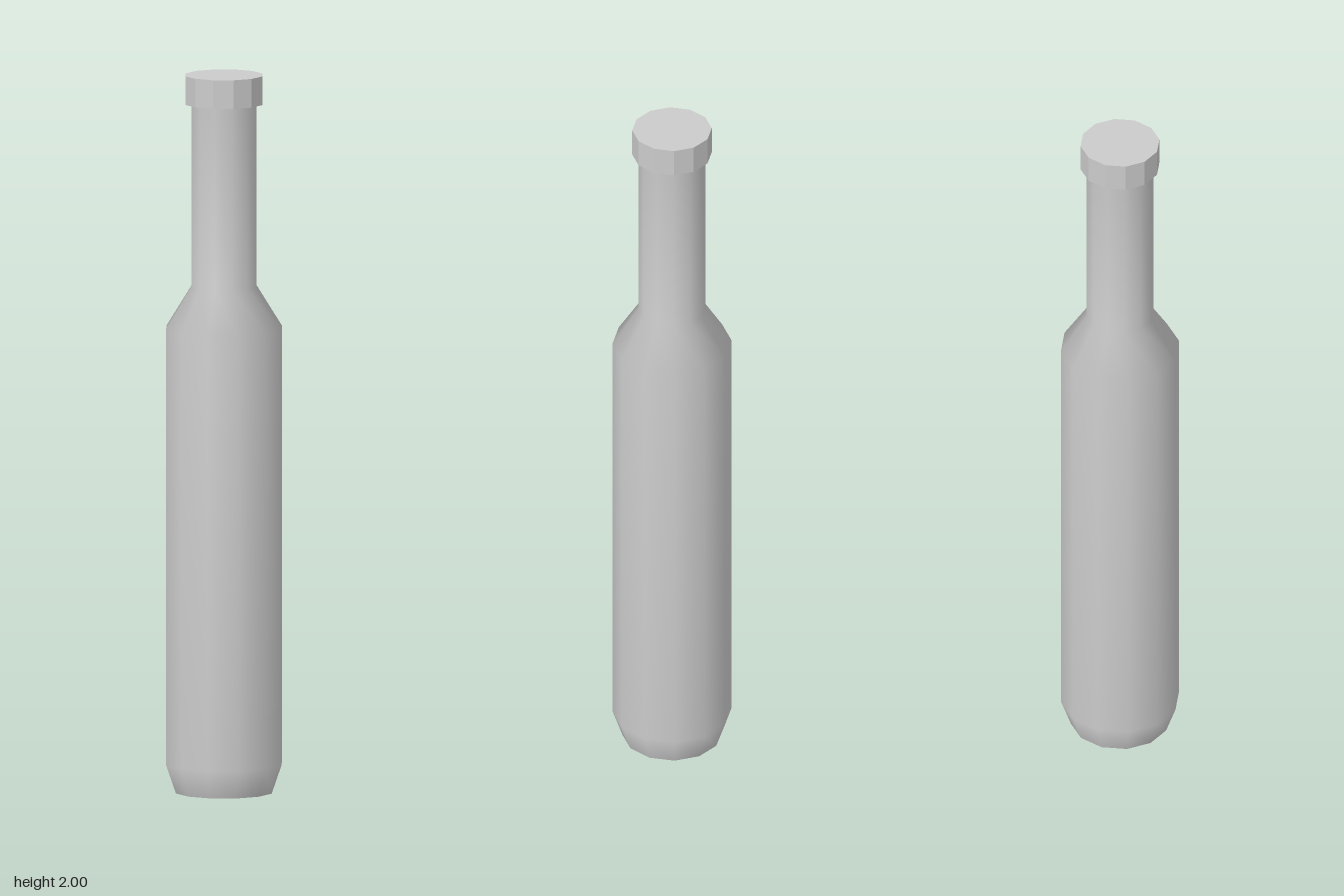
import * as THREE from 'three';

const SIDES = 12;

// Turns a profile of [radius, height] points, listed from bottom to top.
function turned(name, profile, flatShading) {
  const points = profile.map(([r, y]) => new THREE.Vector2(r, y));
  const material = new THREE.MeshStandardMaterial({ color: 0xcccccc, flatShading });
  const mesh = new THREE.Mesh(new THREE.LatheGeometry(points, SIDES), material);
  mesh.name = name;
  return mesh;
}

export function createModel() {
  const bottle = new THREE.Group();
  bottle.name = 'bottle';

  // Flat base disc
  bottle.add(turned('base', [[0, 0], [0.137, 0]], true));

  // Smooth bevel, body, shoulder and neck, ending in the ledge under the cap
  bottle.add(turned('body', [
    [0.137, 0], [0.165, 0.08], [0.165, 1.295],
    [0.093, 1.41], [0.093, 1.92], [0.11, 1.92],
  ], false));

  // Faceted cap with a flat top
  bottle.add(turned('cap', [[0.11, 1.92], [0.11, 2], [0, 2]], true));

  return bottle;
}
